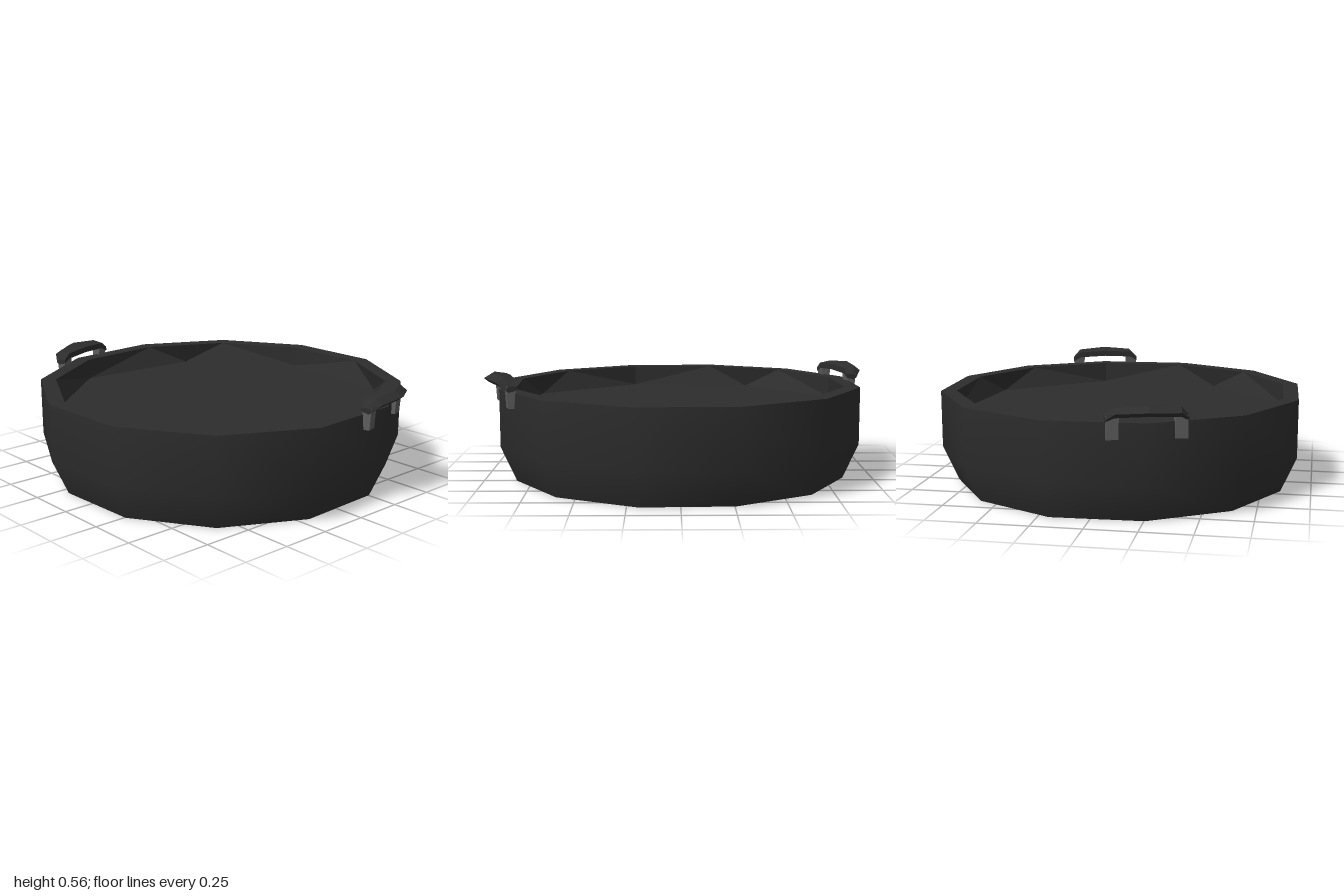
import * as THREE from 'three';

const rad = THREE.MathUtils.degToRad;

// Flat-shaded geometry from a list of triangles of Vector3
function facets(tris) {
  const geo = new THREE.BufferGeometry().setFromPoints(tris.flat());
  geo.computeVertexNormals();
  return geo;
}

// Solid through cross-sections [x, [[z, y], ...]] placed along x
function loft(sections) {
  const rings = sections.map(([x, pts]) => pts.map(([z, y]) => new THREE.Vector3(x, y, z)));
  const n = rings[0].length, tris = [];
  for (let s = 0; s < rings.length - 1; s++) {
    for (let k = 0; k < n; k++) {
      const j = (k + 1) % n, a = rings[s], b = rings[s + 1];
      tris.push([a[k], b[k], a[j]], [b[k], b[j], a[j]]);
    }
  }
  const first = rings[0], last = rings[rings.length - 1];
  for (let k = 1; k < n - 1; k++) {
    tris.push([first[0], first[k], first[k + 1]], [last[0], last[k + 1], last[k]]);
  }
  return facets(tris);
}

export function createModel() {
  const iron = new THREE.MeshStandardMaterial({ name: 'dark iron', color: 0x2d2d2d });
  const steel = new THREE.MeshStandardMaterial({ name: 'grey steel', color: 0x5c5c5c });

  const model = new THREE.Group();
  model.name = 'pan';
  const add = (parent, name, geo, mat) => {
    const mesh = new THREE.Mesh(geo, mat);
    mesh.name = name;
    parent.add(mesh);
    return mesh;
  };

  const SIDES = 12, RIM_Y = 0.475, FLOOR_Y = 0.365;
  const OUTER = 0.95, INNER = 0.87, BASE = 0.87;

  // Outer wall, smooth around and over the lower bevel
  const profile = [[BASE, 0], [OUTER, 0.18], [OUTER, RIM_Y]].map(p => new THREE.Vector2(...p));
  add(model, 'outerWall', new THREE.LatheGeometry(profile, SIDES, rad(17)), iron);

  // Underside, rim and eight-sided inner floor
  add(model, 'underside', new THREE.CircleGeometry(BASE, SIDES, rad(13)).rotateX(Math.PI / 2), iron);
  add(model, 'rim', new THREE.RingGeometry(INNER, OUTER, SIDES, 1, rad(17))
    .rotateX(-Math.PI / 2).translate(0, RIM_Y, 0), iron);
  add(model, 'innerFloor', new THREE.CircleGeometry(INNER, 8, rad(17))
    .rotateX(-Math.PI / 2).translate(0, FLOOR_Y, 0), iron);

  // Inner wall joins the twelve-sided rim to the eight-sided floor
  const at = (deg, y) => new THREE.Vector3(INNER * Math.cos(rad(deg)), y, INNER * Math.sin(rad(deg)));
  const wall = [];
  for (let q = 0; q < 4; q++) {
    const start = -17 + q * 90;
    const t = [0, 30, 60, 90].map(d => at(start + d, RIM_Y));
    const b = [0, 45, 90].map(d => at(start + d, FLOOR_Y));
    wall.push([t[1], t[0], b[0]], [b[0], b[1], t[1]], [t[2], t[1], b[1]],
      [b[1], b[2], t[2]], [t[3], t[2], b[2]]);
  }
  add(model, 'innerWall', facets(wall), iron);

  // Handles: a faceted arched grip on two tapered legs
  const endCut = [[0.89, 0.49], [0.93, 0.48], [0.945, 0.49], [0.93, 0.51], [0.89, 0.51]];
  const shoulder = [[0.89, 0.51], [0.965, 0.505], [0.985, 0.525], [0.95, 0.55], [0.89, 0.54]];
  const middle = [[0.89, 0.517], [1.0, 0.515], [1.025, 0.535], [0.98, 0.56], [0.89, 0.547]];
  const gripGeo = loft([[-0.19, endCut], [-0.15, shoulder], [0, middle], [0.15, shoulder], [0.19, endCut]]);
  const legCut = [[0.905, 0.4], [0.935, 0.4], [0.942, 0.51], [0.892, 0.51]];
  const legGeo = loft([[-0.029, legCut], [0.029, legCut]]);

  for (const [name, turn] of [['frontHandle', 17], ['backHandle', 197]]) {
    const handle = new THREE.Group();
    handle.name = name;
    handle.rotation.y = rad(turn);
    add(handle, 'grip', gripGeo, iron);
    for (const side of [-1, 1]) {
      add(handle, side < 0 ? 'rightLeg' : 'leftLeg', legGeo, steel).position.x = side * 0.157;
    }
    model.add(handle);
  }
  return model;
}
